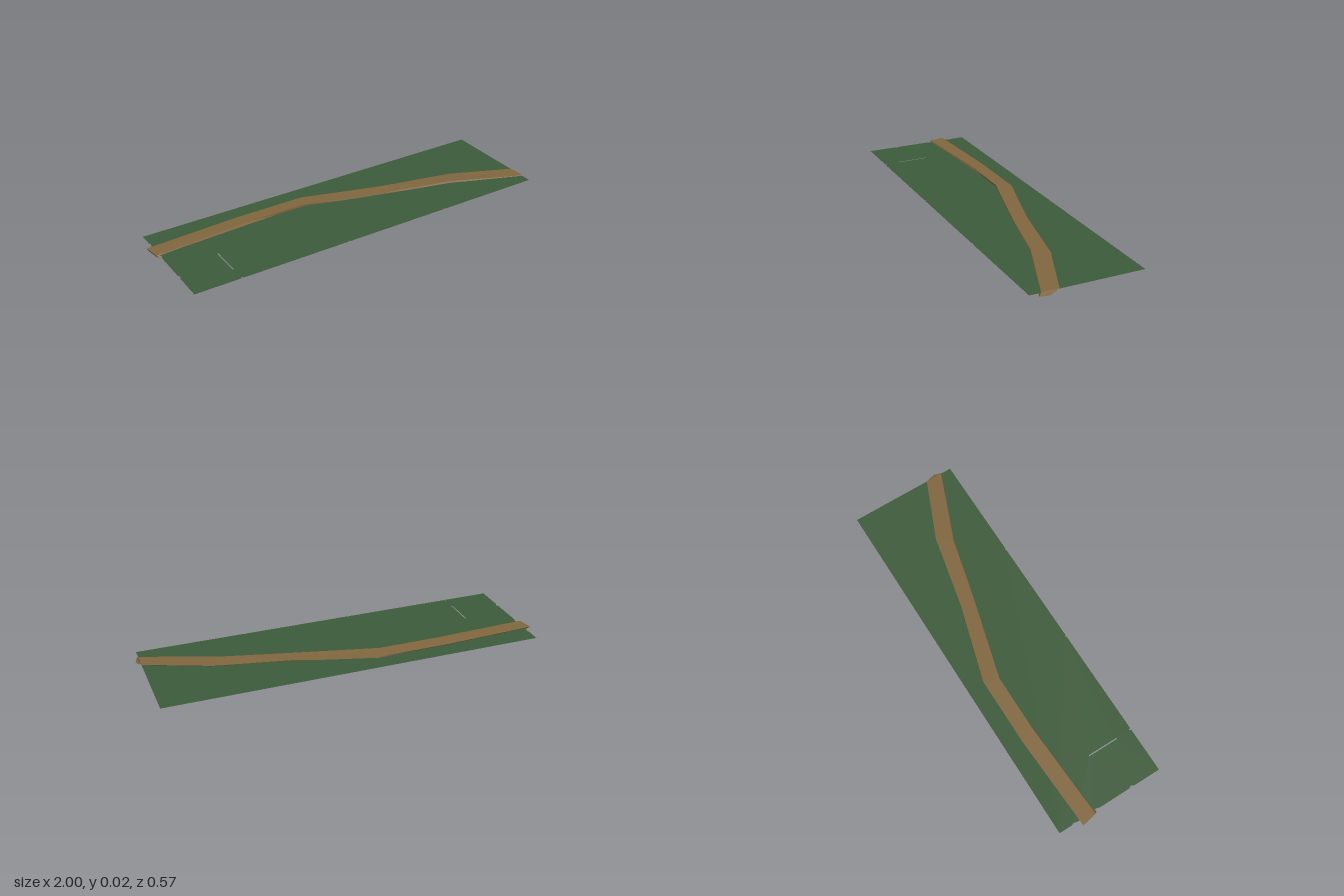
import * as THREE from 'three';

// Thin ground sheet with nicked edges and one narrow slit
function makeGround() {
  const outline = [
    [-0.97, -0.29], [0.98, -0.29], [0.98, 0.285],
    [0.42, 0.285], [0.415, 0.278], [0.41, 0.285],
    [-0.15, 0.285], [-0.155, 0.277], [-0.16, 0.285],
    [-0.725, 0.285], [-0.73, 0.272], [-0.735, 0.285],
    [-0.97, 0.285], [-0.97, 0.14], [-0.962, 0.125], [-0.97, 0.11],
    [-0.97, -0.06], [-0.963, -0.08], [-0.97, -0.1],
    [-0.97, -0.19], [-0.964, -0.205], [-0.97, -0.22],
  ];
  const toPlane = ([x, z]) => new THREE.Vector2(x, -z);
  const shape = new THREE.Shape(outline.map(toPlane));
  const slit = [[-0.736, 0.035], [-0.73, 0.04], [-0.73, 0.2], [-0.736, 0.2]];
  shape.holes.push(new THREE.Path(slit.map(toPlane)));

  const geo = new THREE.ShapeGeometry(shape);
  geo.rotateX(-Math.PI / 2);
  // slight tilt: the front edge is a little higher than the back
  const p = geo.attributes.position;
  for (let i = 0; i < p.count; i++) p.setY(i, 0.012 + 0.0035 * p.getZ(i));
  geo.computeVertexNormals();
  const mat = new THREE.MeshStandardMaterial({ color: 0x3d5a3a, side: THREE.DoubleSide });
  const mesh = new THREE.Mesh(geo, mat);
  mesh.name = 'ground';
  return mesh;
}

// Winding slab: four-cornered cross-sections joined from left to right
function makePath() {
  // per station: back x, z; front x, z; top y back, front; bottom shift in x, z
  const stations = [
    [-1.0, -0.175, -0.985, -0.095, 0.016, 0.016, 0.008, 0.012],
    [-0.5, -0.2, -0.47, -0.123, 0.017, 0.022, 0, 0.01],
    [-0.14, -0.2, -0.17, -0.123, 0.017, 0.022, 0.01, -0.001],
    [0.27, -0.08, 0.26, -0.006, 0.016, 0.017, 0.01, 0.008],
    [0.66, 0.005, 0.6, 0.077, 0.016, 0.02, 0.005, 0.012],
    [0.98, 0.14, 0.98, 0.228, 0.015, 0.015, 0.012, 0.012],
  ];
  // corners: top back, top front, bottom front, bottom back
  const rings = stations.map(([xb, zb, xf, zf, yb, yf, dx, dz]) => [
    [xb, yb, zb], [xf, yf, zf], [xf + dx, 0, zf + dz], [xb + dx, 0.003, zb + dz],
  ]);
  // the right end bulges outward a little
  const last = rings.length - 1;
  rings[last][3] = [1.0, 0.002, 0.195];
  rings[last][2] = [0.987, 0, 0.24];

  const pos = [];
  const quad = (a, b, c, d) => pos.push(...a, ...b, ...c, ...a, ...c, ...d);
  for (let i = 0; i < last; i++) {
    const A = rings[i], B = rings[i + 1];
    for (let k = 0; k < 4; k++) {
      const n = (k + 1) % 4;
      quad(A[k], A[n], B[n], B[k]);
    }
  }
  const s = rings[0], e = rings[last];
  quad(s[0], s[3], s[2], s[1]);
  quad(e[0], e[1], e[2], e[3]);

  const geo = new THREE.BufferGeometry();
  geo.setAttribute('position', new THREE.Float32BufferAttribute(pos, 3));
  geo.computeVertexNormals();
  const mat = new THREE.MeshStandardMaterial({ color: 0x80663f, flatShading: true, side: THREE.DoubleSide });
  const mesh = new THREE.Mesh(geo, mat);
  mesh.name = 'dirtPath';
  return mesh;
}

export function createModel() {
  const group = new THREE.Group();
  group.name = 'pathTerrain';
  group.add(makeGround(), makePath());
  return group;
}
